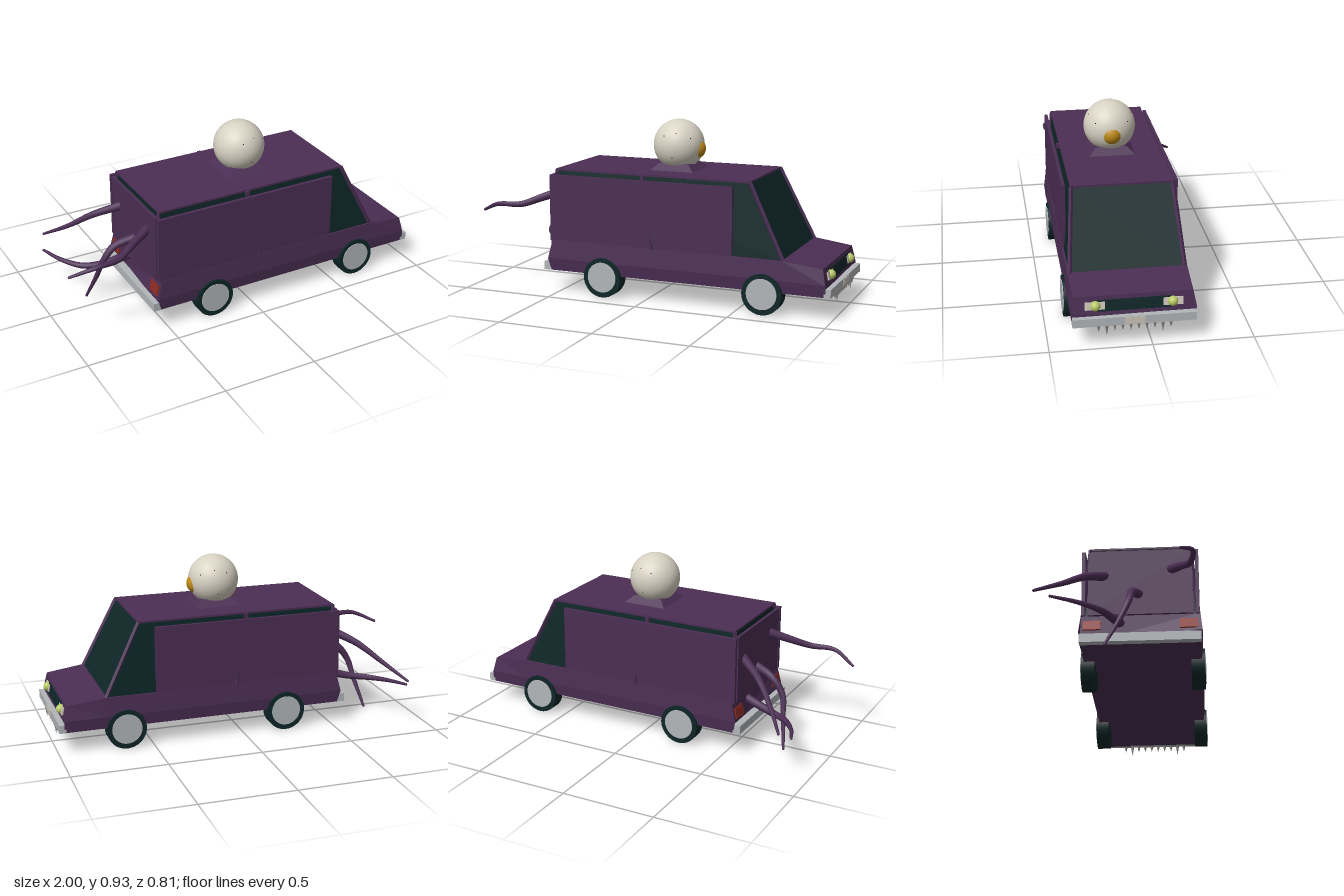
import * as THREE from 'three';

const V = (x, y, z) => new THREE.Vector3(x, y, z);

// Flat-faced solid through rings ordered along +x, each counter-clockwise seen from +x
function loft(rings) {
  const p = [], n = rings[0].length, last = rings[rings.length - 1];
  const tri = (...v) => v.forEach(q => p.push(q.x, q.y, q.z));
  for (let i = 0; i < rings.length - 1; i++) {
    for (let j = 0; j < n; j++) {
      const k = (j + 1) % n, [r, s] = [rings[i], rings[i + 1]];
      tri(r[j], r[k], s[k]);
      tri(r[j], s[k], s[j]);
    }
  }
  for (let j = 1; j < n - 1; j++) {
    tri(last[0], last[j], last[j + 1]);
    tri(rings[0][0], rings[0][j + 1], rings[0][j]);
  }
  const g = new THREE.BufferGeometry();
  g.setAttribute('position', new THREE.Float32BufferAttribute(p, 3));
  g.computeVertexNormals();
  return g;
}

// Symmetric ring from [x, y, halfWidth] points listed bottom to top
const ring = pts => [
  ...pts.map(([x, y, w]) => V(x, y, -w)),
  ...pts.slice().reverse().map(([x, y, w]) => V(x, y, w)),
];

// Tube whose radius shrinks from r0 to r1
function taperedTube(points, r0, r1) {
  const curve = new THREE.CatmullRomCurve3(points), seg = 28, rad = 8;
  const g = new THREE.TubeGeometry(curve, seg, 1, rad, false);
  const pos = g.attributes.position, v = V(0, 0, 0);
  for (let i = 0; i <= seg; i++) {
    const c = curve.getPointAt(i / seg), r = r0 + (r1 - r0) * i / seg;
    for (let j = 0; j <= rad; j++) {
      const k = i * (rad + 1) + j;
      v.fromBufferAttribute(pos, k).sub(c).multiplyScalar(r).add(c);
      pos.setXYZ(k, v.x, v.y, v.z);
    }
  }
  return g;
}

export function createModel() {
  const model = new THREE.Group();
  const van = new THREE.Group();
  van.name = 'van';
  van.position.z = 0.086;
  model.add(van);

  const mat = (name, color) => Object.assign(new THREE.MeshStandardMaterial({ color }), { name });
  const purple = mat('purple paint', 0x4b2e54);
  const dark = mat('dark glass and rubber', 0x0e2627);
  const grey = mat('grey metal', 0xb2b6b9);
  const pale = mat('pale plate', 0xcdc4b8);
  const bone = mat('spike', 0x8f8a85);
  const lamp = mat('lamp yellow green', 0xb9ca66);
  const red = mat('tail light red', 0x8a2a22);
  const white = mat('eye white', 0xd8d2c3);
  const amber = mat('amber iris', 0xbd8a18);

  const add = (name, geo, m, x = 0, y = 0, z = 0, parent = van) => {
    const mesh = new THREE.Mesh(geo, m);
    mesh.name = name;
    mesh.position.set(x, y, z);
    parent.add(mesh);
    return mesh;
  };
  const box = (name, m, x0, x1, y0, y1, z0, z1) =>
    add(name, new THREE.BoxGeometry(x1 - x0, y1 - y0, z1 - z0), m,
      (x0 + x1) / 2, (y0 + y1) / 2, (z0 + z1) / 2);
  const bar = (name, a, b, r) => {
    const mesh = add(name, new THREE.CylinderGeometry(r, r, a.distanceTo(b), 4).toNonIndexed(), purple);
    mesh.geometry.computeVertexNormals();
    mesh.position.copy(a).lerp(b, 0.5);
    mesh.quaternion.setFromUnitVectors(V(0, 1, 0), b.clone().sub(a).normalize());
  };

  // Lower body with sloping bonnet
  add('lowerBody', loft([
    ring([[-0.54, 0.12, 0.298], [-0.555, 0.185, 0.306], [-0.53, 0.285, 0.297]]),
    ring([[0.745, 0.12, 0.298], [0.745, 0.185, 0.306], [0.745, 0.285, 0.297]]),
    ring([[0.97, 0.12, 0.298], [0.967, 0.18, 0.304], [0.95, 0.26, 0.288]]),
  ]), purple);

  // Glass cabin, roof and blank side and rear panels
  add('glassCabin', loft([
    ring([[-0.528, 0.28, 0.288], [-0.515, 0.656, 0.254]]),
    ring([[0.745, 0.28, 0.288], [0.557, 0.656, 0.254]]),
  ]), dark);
  box('roof', purple, -0.522, 0.562, 0.654, 0.664, -0.259, 0.259);
  box('rearPanel', purple, -0.544, -0.528, 0.28, 0.635, -0.262, 0.262);
  for (const s of [-1, 1]) {
    const z0 = s * 0.276, z1 = s * 0.294;
    box('sidePanel', purple, -0.543, 0.48, 0.28, 0.635, Math.min(z0, z1), Math.max(z0, z1));
    bar('windscreenPillar', V(0.745, 0.282, s * 0.286), V(0.558, 0.658, s * 0.253), 0.011);
    bar('rearPillar', V(-0.53, 0.282, s * 0.286), V(-0.518, 0.658, s * 0.253), 0.011);
    const fin = add('sideFin', new THREE.ConeGeometry(0.012, 0.085, 4), purple, 0.036, 0.322, s * 0.296);
    fin.rotation.z = 0.15;
    box('roofClip', purple, -0.03, -0.01, 0.635, 0.66, s * 0.265 - 0.008, s * 0.265 + 0.008);
  }

  // Wheels with grey hubcaps
  for (const x of [-0.233, 0.645]) for (const s of [-1, 1]) {
    add('wheel', new THREE.CylinderGeometry(0.105, 0.105, 0.07, 32), dark, x, 0.107, s * 0.28).rotation.x = Math.PI / 2;
    add('hubcap', new THREE.CylinderGeometry(0.08, 0.08, 0.008, 32), grey, x, 0.11, s * 0.315).rotation.x = Math.PI / 2;
  }

  // Bumpers, number plate and hanging spikes
  box('frontBumper', grey, 0.958, 0.995, 0.12, 0.163, -0.3, 0.3);
  box('rearBumper', grey, -0.58, -0.54, 0.12, 0.165, -0.3, 0.3);
  box('numberPlate', pale, 0.992, 0.998, 0.124, 0.16, -0.049, 0.049);
  for (let i = 0; i < 10; i++) {
    const len = i === 1 || i === 8 ? 0.06 : 0.037;
    add('spike', new THREE.ConeGeometry(0.01, len, 10), bone, 0.984, 0.122 - len / 2, 0.174 - i * 0.0388).rotation.x = Math.PI;
  }

  // Grille, headlights and tail lights
  const face = (name, m, x, y, z, h, w, tilt) =>
    add(name, new THREE.BoxGeometry(0.008, h, w), m, x, y, z).rotation.z = tilt;
  face('grille', dark, 0.959, 0.212, 0, 0.056, 0.36, 0.21);
  for (const s of [-1, 1]) {
    face('headlightPlate', pale, 0.962, 0.214, s * 0.189, 0.038, 0.097, 0.21);
    add('headlight', new THREE.SphereGeometry(0.025, 20, 14), lamp, 0.964, 0.214, s * 0.187);
    face('tailLight', red, -0.546, 0.223, s * 0.24, 0.055, 0.09, -0.245);
  }

  // Roof pedestal and giant eyeball
  const pedestal = add('eyePedestal', new THREE.CylinderGeometry(0.114, 0.174, 0.038, 4).toNonIndexed(), purple, 0.08, 0.68, 0);
  pedestal.geometry.computeVertexNormals();
  pedestal.rotation.y = Math.PI / 4;
  const eye = new THREE.Group();
  eye.name = 'eye';
  eye.position.set(0.077, 0.792, 0);
  van.add(eye);
  add('eyeball', new THREE.SphereGeometry(0.135, 40, 28), white, 0, 0, 0, eye);
  add('iris', new THREE.SphereGeometry(0.054, 28, 20), amber, 0.094, -0.017, 0, eye);
  const spots = [[-0.037, 0.056, dark], [0.027, 0.072, red], [0.096, 0.046, dark], [0.01, -0.056, dark]];
  for (const [x, y, m] of spots) for (const s of [-1, 1]) {
    const z = s * Math.sqrt(0.135 ** 2 - x * x - y * y);
    add('eyeSpot', new THREE.SphereGeometry(0.003, 8, 6), m, x, y, z, eye);
  }

  // Tentacles bursting out of the rear
  const tentacles = [
    [[-0.53, 0.53, 0.24], [-0.64, 0.49, 0.29], [-0.74, 0.455, 0.34], [-0.87, 0.45, 0.355], [-0.993, 0.4, 0.3]],
    [[-0.53, 0.5, -0.09], [-0.66, 0.435, -0.18], [-0.77, 0.345, -0.28], [-0.868, 0.263, -0.398]],
    [[-0.53, 0.395, 0.08], [-0.64, 0.355, 0.05], [-0.705, 0.275, 0.04], [-0.73, 0.17, 0], [-0.766, 0.02, -0.07]],
    [[-0.53, 0.24, -0.015], [-0.67, 0.205, -0.045], [-0.77, 0.197, -0.09], [-0.85, 0.203, -0.19], [-0.903, 0.213, -0.315]],
  ];
  for (const t of tentacles) {
    const pts = t.map(([x, y, z]) => V(x, y, z - 0.086));
    add('tentacle', taperedTube(pts, 0.025, 0.007), purple);
    add('tentacleTip', new THREE.SphereGeometry(0.007, 8, 6), purple, ...pts[pts.length - 1].toArray());
  }

  return model;
}
